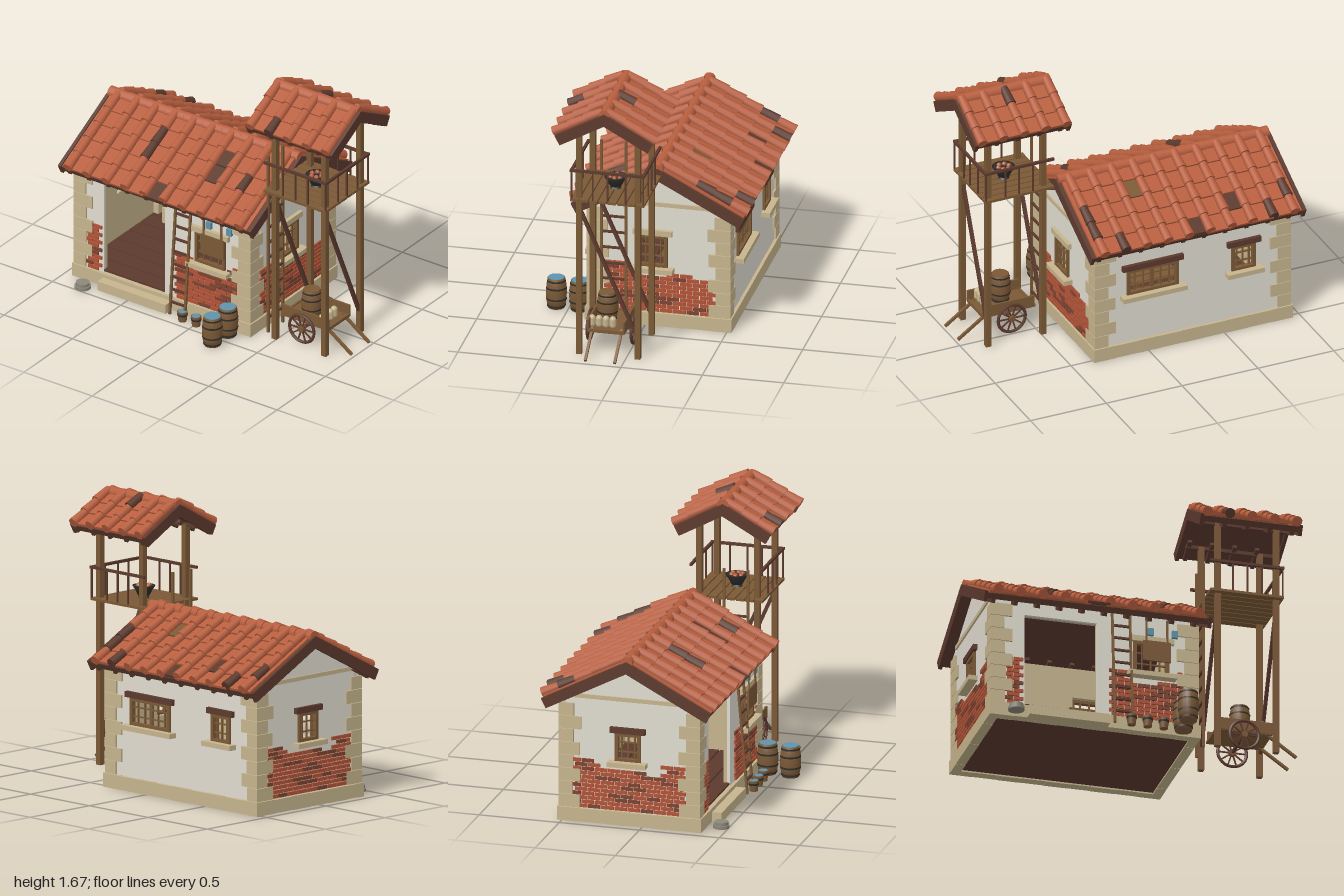
import * as THREE from 'three';

const mat = (name, color) => {
  const m = new THREE.MeshStandardMaterial({ color });
  m.name = name;
  return m;
};
const M = {
  tile: mat('terracotta', 0xb85f3f), plaster: mat('plaster', 0xe0dcd0), stone: mat('sandstone', 0xc6b48d),
  wood: mat('wood', 0x7b5936), dark: mat('dark wood', 0x5c3a2e), brick: mat('brick', 0xb05338),
  darkBrick: mat('dark brick', 0x7d4330), water: mat('water blue', 0x5f93ab), iron: mat('iron', 0x2e2e2d),
  gray: mat('grey stone', 0x8c877a),
};

let seed = 7;
const rnd = () => (seed = (seed * 16807) % 2147483647) / 2147483647;

function add(parent, name, geo, material, x = 0, y = 0, z = 0) {
  const m = new THREE.Mesh(geo, material);
  m.name = name;
  m.position.set(x, y, z);
  parent.add(m);
  return m;
}
const box = (p, name, material, w, h, d, x, y, z) => add(p, name, new THREE.BoxGeometry(w, h, d), material, x, y, z);
function group(parent, name, x = 0, y = 0, z = 0, rotY = 0) {
  const g = new THREE.Group();
  g.name = name;
  g.position.set(x, y, z);
  g.rotation.y = rotY;
  parent.add(g);
  return g;
}
// Square timber between two points
function beam(p, name, material, a, b, t) {
  const A = new THREE.Vector3(...a), B = new THREE.Vector3(...b), d = B.clone().sub(A);
  const m = add(p, name, new THREE.BoxGeometry(t, d.length(), t), material);
  m.position.copy(A).add(B).multiplyScalar(0.5);
  m.quaternion.setFromUnitVectors(new THREE.Vector3(0, 1, 0), d.normalize());
}

// Gabled roof: slabs, bargeboards, rafter ends, pan tiles, rib tiles and ridge.
// odd maps 'side kind column row' to the material of a replaced tile
function gableRoof(root, name, { x0, x1, z, y, run, drop, ribs, rows, odd }) {
  const pitch = 0.139, w = x1 - x0, L = Math.hypot(run, drop), row = L / rows;
  const roof = group(root, name, (x0 + x1) / 2, y, z);
  const rib = new THREE.CylinderGeometry(0.031, 0.025, row * 1.1, 10).rotateX(Math.PI / 2);
  const pan = new THREE.BoxGeometry(pitch * 0.99, 0.014, row * 1.08);
  const start = -(ribs - 1) * pitch / 2;
  for (const side of ['front', 'back']) {
    const sx = side === 'front' ? 1 : -1;
    const slope = group(group(roof, side + 'Side', 0, 0, 0, sx > 0 ? 0 : Math.PI), 'slope');
    slope.rotation.x = Math.atan2(drop, run);
    box(slope, 'roofBoards', M.dark, w, 0.035, L, 0, -0.0175, L / 2);
    for (const s of [-1, 1]) {
      box(slope, 'bargeboard', M.dark, 0.022, 0.066, L + 0.01, s * (w / 2), -0.022, L / 2);
      box(slope, 'edgeTiles', M.tile, 0.04, 0.016, L, s * (w / 2 - 0.04), 0.008, L / 2);
    }
    for (let i = 0; i < ribs; i++) {
      const x = sx * (start + i * pitch);
      box(slope, 'rafterEnd', M.dark, 0.025, 0.024, 0.14, x - 0.02, -0.046, L - 0.075);
      for (let r = 0; r < rows; r++) {
        const zc = (r + 0.5) * row + 0.004;
        const c = add(slope, 'ribTile', rib, odd[`${side} rib ${i} ${r}`] || M.tile, x, 0.026 + rnd() * 0.004, zc);
        c.rotation.x = -0.04;
        if (i === ribs - 1) continue;
        const p = add(slope, 'panTile', pan, odd[`${side} pan ${i} ${r}`] || M.tile, x + sx * pitch / 2, 0.012, zc + (rnd() - 0.5) * 0.012);
        p.rotation.x = -0.09;
      }
    }
  }
  const n = Math.round(w / pitch), cap = new THREE.CylinderGeometry(0.037, 0.033, w / n * 0.98, 12).rotateZ(Math.PI / 2);
  for (let i = 0; i < n; i++) add(roof, 'ridgeTile', cap, M.tile, (i + 0.5) * w / n - w / 2, 0.005, 0);
}

// Wall with openings: plaster outside, sandstone inside. Openings are [u, y, w, h] about their centre
function wall(face, u0, u1, top, peak, holes) {
  const s = new THREE.Shape();
  s.moveTo(u0, 0.08); s.lineTo(u1, 0.08); s.lineTo(u1, top);
  if (peak) s.lineTo((u0 + u1) / 2, peak);
  s.lineTo(u0, top); s.closePath();
  for (const [u, y, w, h] of holes) {
    const p = new THREE.Path();
    p.moveTo(u - w / 2, y - h / 2); p.lineTo(u - w / 2, y + h / 2);
    p.lineTo(u + w / 2, y + h / 2); p.lineTo(u + w / 2, y - h / 2); p.closePath();
    s.holes.push(p);
  }
  const g = new THREE.ExtrudeGeometry(s, { depth: 0.02, bevelEnabled: false });
  add(face, 'plasterWall', g, M.plaster, 0, 0, -0.02);
  add(face, 'innerWall', g, M.stone, 0, 0, -0.04);
}

function windowFrame(face, [u, y, w, h], bars, lintel) {
  const g = group(face, 'window', u, y, 0);
  for (const s of [-1, 1]) {
    box(g, 'jamb', M.wood, 0.02, h, 0.03, s * (w / 2 - 0.01), 0, 0);
    box(g, 'rail', M.wood, w, 0.02, 0.03, 0, s * (h / 2 - 0.01), 0);
    box(g, 'crossBar', M.wood, w, 0.008, 0.012, 0, s * h / 6, -0.005);
  }
  for (let i = 1; i <= bars; i++) {
    const wide = bars > 3 && i === (bars + 1) / 2;
    box(g, 'bar', M.wood, wide ? 0.024 : 0.008, h, 0.012, -w / 2 + i * w / (bars + 1), 0, -0.005);
  }
  box(g, 'sill', M.stone, w + 0.08, 0.03, 0.06, 0, -h / 2 - 0.012, 0.025);
  box(g, 'lintel', lintel, w + 0.06, 0.035, 0.03, 0, h / 2 + 0.017, 0.01);
}

// Ragged patch of bricks below a height given by top(u)
function brickPatch(face, u0, u1, top) {
  const g = group(face, 'brickPatch'), pitch = 0.026, len = 0.082;
  for (let r = 0, y = 0.1; y < 0.42; r++, y += pitch) {
    for (let u = u0 - (r % 2) * len / 2; u < u1; u += len) {
      const a = Math.max(u, u0 - (r % 2 ? 0.015 : 0)), b = Math.min(u + len - 0.006, u1 + (r % 2 ? 0.02 : 0));
      if (b - a < 0.015 || y > top((a + b) / 2) + (rnd() - 0.5) * 0.03) continue;
      box(g, 'brick', rnd() < 0.25 ? M.darkBrick : M.brick, b - a, 0.021, 0.016, (a + b) / 2, y, 0.002);
    }
  }
}

function barrel(root, x, y, z, r, h, lid) {
  const g = group(root, 'barrel', x, y, z);
  const prof = [[0, 0], [0.8, 0], [0.95, 0.25], [1, 0.5], [0.95, 0.75], [0.82, 1], [0.7, 1], [0.7, 0.95], [0, 0.95]];
  add(g, 'staves', new THREE.LatheGeometry(prof.map(([a, b]) => new THREE.Vector2(a * r, b * h)), 16), M.wood);
  for (const [t, k] of [[0.08, 0.89], [0.32, 1], [0.68, 1], [0.92, 0.91]])
    add(g, 'hoop', new THREE.CylinderGeometry(r * k, r * k, h * 0.06, 16, 1, true), M.iron, 0, h * t, 0);
  add(g, 'lid', new THREE.CylinderGeometry(r * 0.78, r * 0.78, 0.004, 16), lid, 0, h, 0);
}

function ladder(root, name, a, b, half, axis, rungs) {
  const g = group(root, name), off = (p, s) => p.map((v, i) => v + (i === axis ? s * half : 0));
  for (const s of [-1, 1]) beam(g, 'rail', M.wood, off(a, s), off(b, s), 0.014);
  for (let i = 1; i <= rungs; i++) {
    const p = a.map((v, k) => v + (b[k] - v) * i / (rungs + 1));
    beam(g, 'rung', M.dark, off(p, -1), off(p, 1), 0.013);
  }
}

function buildHouse(root) {
  const house = group(root, 'house');
  // Foundation blocks and floor
  box(house, 'floor', M.dark, 1.2, 0.08, 0.79, -0.295, 0.05, -0.08);
  for (let i = 0; i < 9; i++) for (const z of [-0.5, 0.34])
    box(house, 'foundationBlock', M.stone, 0.1455, 0.085 - (i % 2) * 0.003, 0.06, -0.95 + (i + 0.5) * 1.31 / 9, 0.0425, z);
  for (let i = 0; i < 6; i++) for (const x of [-0.92, 0.33])
    box(house, 'foundationBlock', M.stone, 0.06, 0.085 - (i % 2) * 0.003, 0.15, x, 0.0425, -0.53 + (i + 0.5) * 0.15);
  box(house, 'doorStep', M.stone, 0.5, 0.06, 0.07, -0.47, 0.03, 0.395);
  for (let i = 0; i < 7; i++) box(house, 'floorPlank', M.dark, 1.2, 0.012, 0.112, -0.295, 0.095, -0.43 + i * 0.12);

  // Four faces, each drawn facing +z
  const front = group(house, 'frontWall', 0, 0, 0.35), back = group(house, 'backWall', 0, 0, -0.51, Math.PI);
  const left = group(house, 'leftWall', 0.34, 0, -0.08, Math.PI / 2), right = group(house, 'rightWall', -0.93, 0, -0.08, -Math.PI / 2);
  const wFront = [0.055, 0.49, 0.22, 0.21], wWide = [0.03, 0.49, 0.34, 0.17], wSmall = [0.63, 0.49, 0.16, 0.17];
  const wLeft = [-0.035, 0.485, 0.18, 0.21], wRight = [-0.01, 0.49, 0.16, 0.18];
  wall(front, -0.93, 0.34, 0.765, 0, [[-0.505, 0.384, 0.45, 0.602], wFront]);
  wall(back, -0.34, 0.93, 0.765, 0, [wWide, wSmall]);
  wall(left, -0.428, 0.428, 0.765, 0.985, [wLeft]);
  wall(right, -0.428, 0.428, 0.765, 0.985, [wRight]);
  windowFrame(front, wFront, 3, M.stone);
  windowFrame(back, wWide, 5, M.dark);
  windowFrame(back, wSmall, 3, M.dark);
  windowFrame(left, wLeft, 3, M.stone);
  windowFrame(right, wRight, 3, M.dark);
  for (const f of [left, right]) box(f, 'gableBand', M.stone, 0.7, 0.025, 0.012, 0, 0.79, 0.004);
  brickPatch(front, -0.84, -0.76, () => 0.4);
  brickPatch(front, -0.19, 0.25, u => (u < -0.08 || u > 0.2 ? 0.4 : 0.33));
  brickPatch(left, -0.32, 0.34, u => (u < -0.16 ? 0.4 : 0.33));
  brickPatch(right, -0.34, 0.34, u => (Math.abs(u) > 0.2 ? 0.4 : 0.34));

  // Corner quoins
  for (const [cx, sx] of [[-0.93, -1], [0.34, 1]]) for (const [cz, sz] of [[-0.51, -1], [0.35, 1]])
    for (let i = 0; i < 8; i++) {
      const [w, d] = i % 2 ? [0.13, 0.085] : [0.085, 0.13], j = rnd() * 0.012;
      box(house, 'quoin', M.stone, w + j, 0.079, d + j, cx + sx * (0.012 - (w + j) / 2), 0.126 + i * 0.082, cz + sz * (0.012 - (d + j) / 2));
    }

  // Room furniture
  box(house, 'hearth', M.stone, 0.16, 0.1, 0.14, -0.7, 0.15, -0.39);
  add(house, 'pot', new THREE.CylinderGeometry(0.028, 0.02, 0.06, 12), M.iron, -0.7, 0.245, -0.39);
  box(house, 'tableTop', M.wood, 0.3, 0.015, 0.2, -0.2, 0.275, -0.1);
  for (const x of [-0.31, -0.09]) for (const z of [-0.18, -0.02]) box(house, 'tableLeg', M.wood, 0.018, 0.18, 0.018, x, 0.185, z);

  // Hanging board with small blue lanterns
  box(house, 'hangingBoard', M.wood, 0.17, 0.13, 0.012, 0.085, 0.535, 0.376);
  for (const x of [0.02, 0.15]) box(house, 'hanger', M.wood, 0.012, 0.15, 0.008, x, 0.67, 0.376);
  for (const x of [0.05, 0.2]) box(house, 'lantern', M.water, 0.035, 0.045, 0.02, x, 0.665, 0.362);

  gableRoof(house, 'houseRoof', {
    x0: -0.99, x1: 0.4, z: -0.085, y: 1.035, run: 0.52, drop: 0.272, ribs: 10, rows: 5,
    odd: {
      'back rib 0 3': M.dark, 'back rib 1 4': M.dark, 'back pan 2 3': M.dark, 'back pan 4 4': M.dark,
      'back pan 6 1': M.wood, 'back rib 8 4': M.dark, 'back rib 9 2': M.dark, 'back rib 9 3': M.dark,
      'front rib 3 1': M.dark, 'front rib 3 2': M.dark, 'front pan 6 1': M.dark, 'front pan 6 2': M.dark,
      'front rib 8 2': M.dark, 'front pan 4 4': M.dark,
    },
  });
}

function buildTower(root) {
  const t = group(root, 'watchtower');
  for (const x of [0.485, 0.848]) {
    for (const z of [-0.07, 0.29]) box(t, 'post', M.wood, 0.034, 1.47, 0.034, x, 0.735, z);
    beam(t, 'brace', M.dark, [x, 0.93, 0.28], [x, 0.15, -0.06], 0.02);
  }
  for (const z of [-0.07, 0.29]) beam(t, 'plate', M.dark, [0.39, 1.465, z], [0.94, 1.465, z], 0.022);
  for (let i = 0; i < 8; i++) box(t, 'deckPlank', M.wood, 0.455, 0.016, 0.05, 0.658, 1.012, -0.09 + i * 0.0575);
  // Railings, open on the ladder side
  for (const z of [-0.11, 0.33]) {
    beam(t, 'handrail', M.dark, [0.43, 1.205, z], [0.888, 1.205, z], 0.016);
    for (const x of [0.57, 0.66, 0.75, 0.88]) beam(t, 'baluster', M.dark, [x, 1.01, z], [x, 1.2, z], 0.009);
  }
  beam(t, 'handrail', M.dark, [0.88, 1.205, -0.12], [0.88, 1.205, 0.34], 0.016);
  for (const z of [0.0, 0.11, 0.2]) beam(t, 'baluster', M.dark, [0.88, 1.01, z], [0.88, 1.2, z], 0.009);
  ladder(t, 'towerLadder', [0.408, 0, 0.18], [0.408, 1.02, 0.18], 0.075, 2, 9);
  for (const z of [0.105, 0.255]) beam(t, 'ladderTop', M.wood, [0.408, 1.02, z], [0.408, 1.21, z], 0.014);
  // Brazier
  const bowl = [[0, 0], [0.035, 0], [0.05, 0.03], [0.07, 0.06], [0.06, 0.06], [0, 0.05]].map(p => new THREE.Vector2(...p));
  add(t, 'brazier', new THREE.LatheGeometry(bowl, 14), M.iron, 0.66, 1.035, 0.11);
  add(t, 'brazierFoot', new THREE.CylinderGeometry(0.02, 0.035, 0.02, 10), M.iron, 0.66, 1.03, 0.11);
  for (let i = 0; i < 6; i++)
    add(t, 'ember', new THREE.IcosahedronGeometry(0.016), M.tile, 0.66 + 0.034 * Math.cos(i * 1.05), 1.095, 0.11 + 0.034 * Math.sin(i * 1.05));
  gableRoof(t, 'towerRoof', {
    x0: 0.36, x1: 0.972, z: 0.11, y: 1.618, run: 0.292, drop: 0.16, ribs: 5, rows: 3,
    odd: { 'front rib 1 2': M.dark, 'back rib 2 0': M.dark },
  });
}

function buildCart(root) {
  const c = group(root, 'cart', 0.66, 0, 0.13);
  box(c, 'bed', M.wood, 0.34, 0.015, 0.22, 0, 0.145, 0);
  for (const s of [-1, 1]) {
    box(c, 'sideBoard', M.wood, 0.34, 0.075, 0.012, 0.01, 0.18, s * 0.11);
    box(c, 'endBoard', M.wood, 0.012, 0.02, 0.22, 0.01 + s * 0.165, 0.15, 0);
    beam(c, 'handle', M.wood, [0.14, 0.155, s * 0.09], [0.335, 0.02, s * 0.09], 0.016);
    const w = group(c, 'wheel', 0, 0.11, s * 0.135);
    add(w, 'rim', new THREE.TorusGeometry(0.09, 0.01, 6, 24), M.dark);
    add(w, 'hub', new THREE.CylinderGeometry(0.02, 0.02, 0.03, 10).rotateX(Math.PI / 2), M.wood);
    for (let i = 0; i < 5; i++) {
      const a = i * Math.PI / 5, x = 0.09 * Math.cos(a), y = 0.09 * Math.sin(a);
      beam(w, 'spoke', M.dark, [-x, -y, 0], [x, y, 0], 0.008);
    }
  }
  beam(c, 'axle', M.dark, [0, 0.11, -0.13], [0, 0.11, 0.13], 0.016);
  barrel(c, 0, 0.155, 0.03, 0.064, 0.18, M.wood);
  for (let i = 0; i < 4; i++)
    add(c, 'sack', new THREE.CapsuleGeometry(0.021, 0.035, 4, 10), M.stone, 0.12, 0.19, -0.03 + i * 0.042);
}

export function createModel() {
  const root = new THREE.Group();
  root.name = 'cottageWithWatchtower';
  buildHouse(root);
  buildTower(root);
  buildCart(root);
  ladder(root, 'wallLadder', [-0.135, 0.01, 0.43], [-0.135, 0.76, 0.365], 0.055, 0, 8);
  // Yard barrels, buckets and millstone
  barrel(root, 0.225, 0.005, 0.575, 0.064, 0.193, M.water);
  barrel(root, 0.235, 0.005, 0.43, 0.064, 0.193, M.water);
  for (const x of [-0.09, 0.01, 0.11]) {
    add(root, 'bucket', new THREE.CylinderGeometry(0.032, 0.025, 0.065, 12), M.wood, x, 0.0325, 0.44);
    add(root, 'bucketBand', new THREE.CylinderGeometry(0.033, 0.031, 0.012, 12), M.iron, x, 0.045, 0.44);
    add(root, 'bucketWater', new THREE.CylinderGeometry(0.026, 0.026, 0.003, 12), M.water, x, 0.066, 0.44);
  }
  for (const [r, y] of [[0.05, 0.01], [0.042, 0.03]])
    add(root, 'millstone', new THREE.CylinderGeometry(r, r, 0.019, 16), M.gray, -0.81, y, 0.455);
  return root;
}
